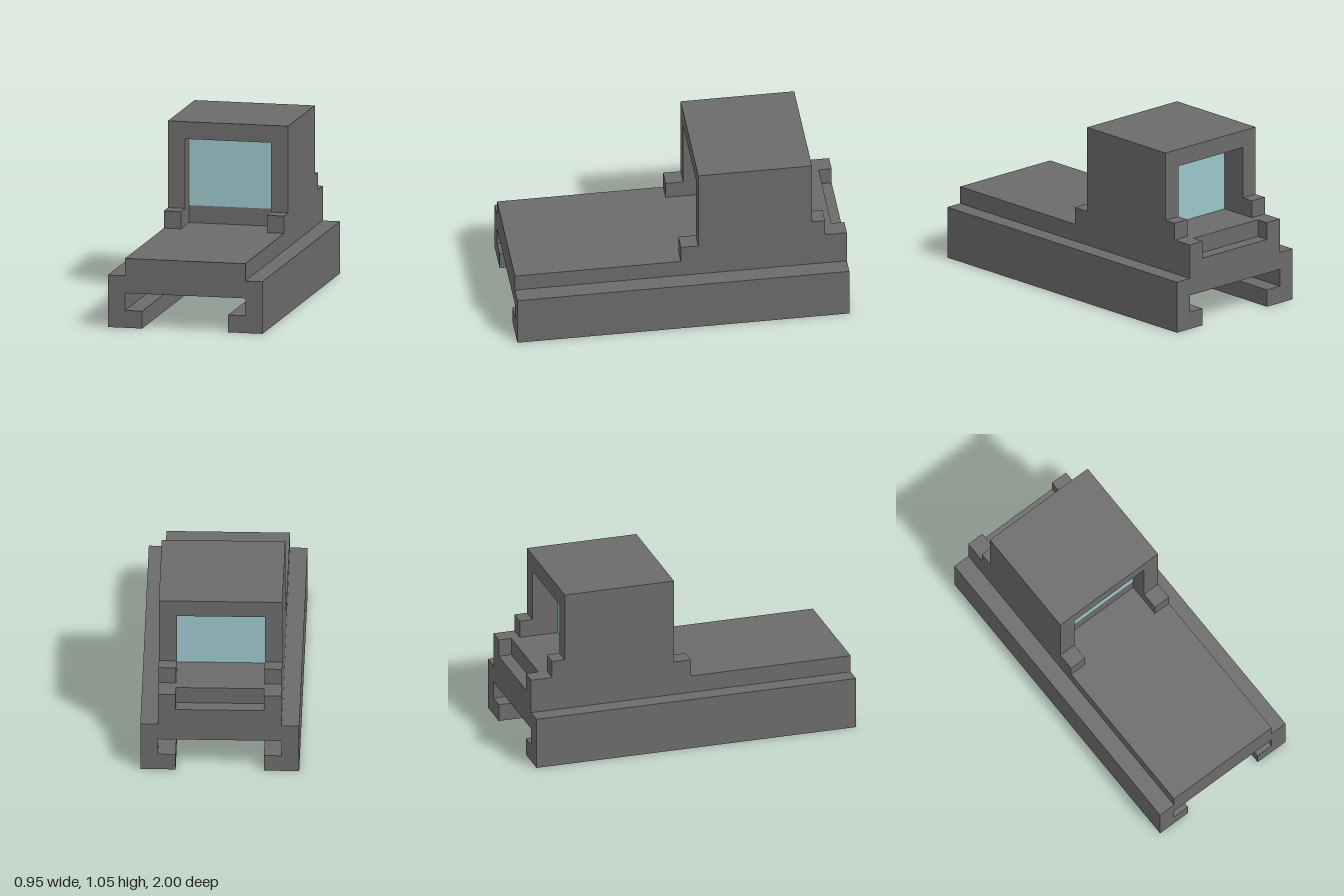
import * as THREE from 'three';

// everything sits on a grid of 19 units along the length
const U = 2 / 19;
const grey = new THREE.MeshStandardMaterial({ color: 0x6b6b6b, flatShading: true });
const teal = new THREE.MeshStandardMaterial({ color: 0x9bc5ca, flatShading: true });

// closed outline in grid units, extruded along z from 0 to depth
function extrude(points, depth) {
  const shape = new THREE.Shape(points.map(([x, y]) => new THREE.Vector2(x * U, y * U)));
  return new THREE.ExtrudeGeometry(shape, { depth: depth * U, bevelEnabled: false });
}

// box given by its limits in grid units
function box(x0, x1, y0, y1, z0, z1) {
  const g = new THREE.BoxGeometry((x1 - x0) * U, (y1 - y0) * U, (z1 - z0) * U);
  return g.translate((x0 + x1) * U / 2, (y0 + y1) * U / 2, (z0 + z1) * U / 2);
}

export function createModel() {
  const group = new THREE.Group();
  const add = (name, geometry, material = grey) => {
    const mesh = new THREE.Mesh(geometry, material);
    mesh.name = name;
    group.add(mesh);
  };

  // clamp rail: constant section with a hooked channel underneath
  const half = [[3.5, 4], [3.5, 3], [4.5, 3], [4.5, 0], [2.5, 0], [2.5, 1], [3.5, 1], [3.5, 2]];
  const mirrored = half.map(([x, y]) => [-x, y]).reverse();
  add('mountingRail', extrude([...half, ...mirrored], 19).translate(0, 0, -1));

  // stepped side walls of the sight housing, outline as [z, y]
  const wall = [
    [0, 4], [0, 5], [-1, 5], [-1, 10], [-7.5, 10], [-7.5, 6],
    [-8.25, 6], [-8.25, 5], [-9.5, 5], [-9.5, 4],
  ];
  for (const [name, outerX] of [['leftWall', 3.5], ['rightWall', -2.5]]) {
    add(name, extrude(wall, 1).rotateY(-Math.PI / 2).translate(outerX * U, 0, 0));
  }

  // roof, raised sill (leaving a notch at the back) and window block
  add('roof', box(-2.5, 2.5, 9, 10, -7.5, -1));
  add('sill', box(-2.5, 2.5, 4, 5, -8.75, -2));
  add('lens', box(-2.5, 2.5, 5, 9, -6, -2), teal);

  return group;
}
